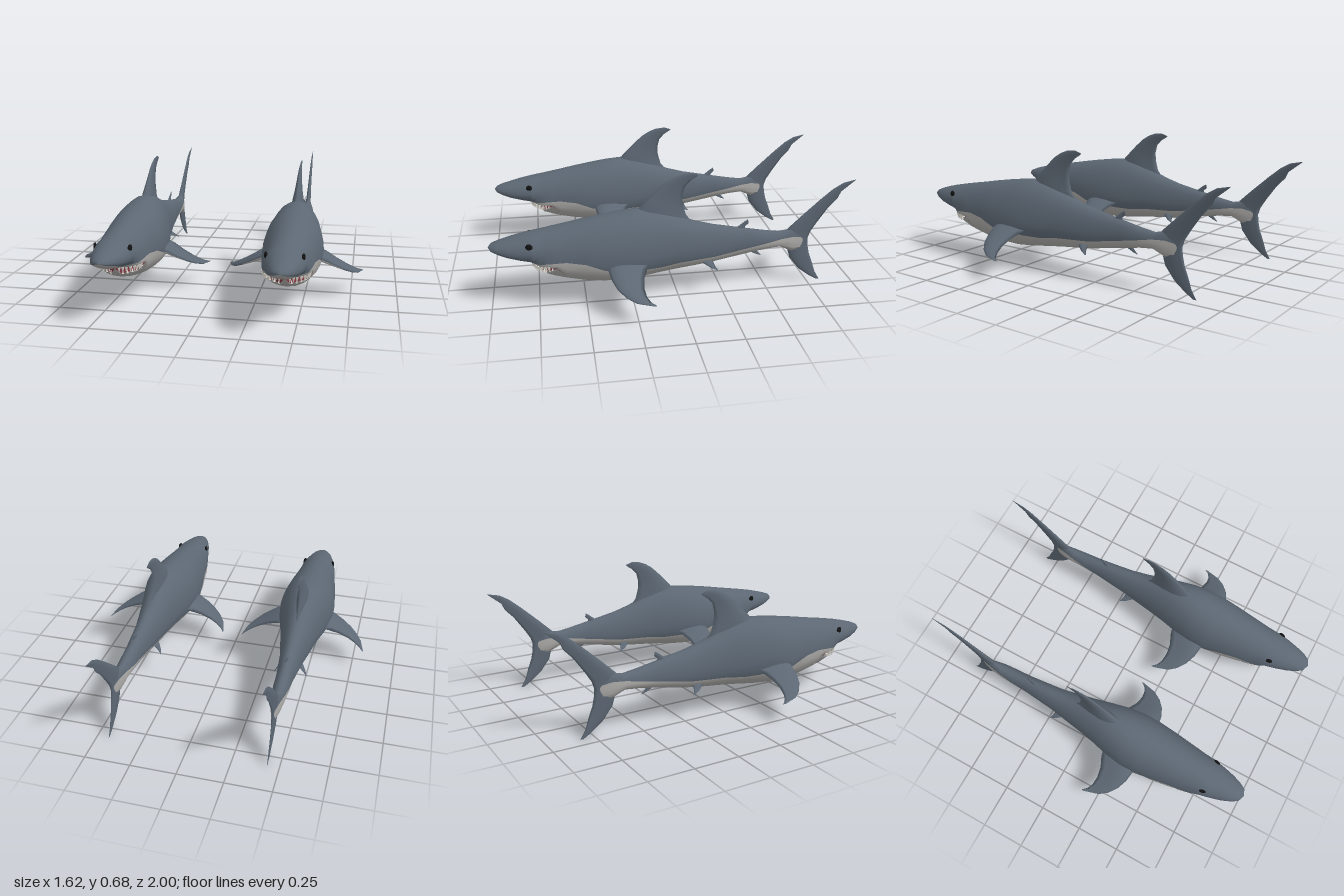
import * as THREE from 'three';

const V = (x, y, z) => new THREE.Vector3(x, y, z);
const mat = (name, color) => Object.assign(new THREE.MeshStandardMaterial({ color }), { name });

// Body stations from nose to tail: z, top, bottom, half width, height of the colour line
const STATIONS = [
  [1, .336, .336, 0, .336], [.985, .354, .318, .038, .325], [.95, .367, .3, .06, .315], [.9, .381, .28, .079, .298],
  [.84, .396, .264, .095, .28], [.78, .408, .251, .108, .27], [.765, .411, .24, .111, .268],
  [.735, .417, .203, .117, .268], [.7, .423, .178, .123, .272], [.67, .429, .167, .128, .274],
  [.65, .432, .16, .131, .276], [.6, .441, .147, .138, .28], [.5, .46, .126, .152, .267],
  [.4, .477, .116, .162, .228], [.3, .492, .112, .163, .222], [.2, .502, .12, .147, .205],
  [.1, .485, .133, .123, .2], [0, .448, .145, .102, .212], [-.1, .411, .155, .084, .215],
  [-.2, .384, .167, .066, .217], [-.4, .345, .203, .047, .25], [-.5, .326, .22, .044, .268],
  [-.58, .314, .228, .04, .283], [-.65, .33, .193, .026, .286], [-.7, .32, .195, .012, .275], [-.73, .27, .25, 0, .26],
];
const MOUTH_BACK = .65, MOUTH_FRONT = .78;

function station(z) {
  const i = Math.max(1, STATIONS.findIndex(s => s[0] <= z));
  const a = STATIONS[i - 1], b = STATIONS[i], t = (a[0] - z) / (a[0] - b[0]);
  return a.map((v, k) => v + (b[k] - v) * t);
}
const middle = ([, top, bottom]) => bottom + (top - bottom) * .38;

// Point on a station's ring: angle 0 is the back, PI the belly
function ringPoint(s, a) {
  const m = middle(s), c = Math.cos(a);
  return V(s[3] * Math.sin(a), m + c * (c > 0 ? s[1] - m : m - s[2]), s[0]);
}
function angleAt(s, y) {
  const m = middle(s), r = y > m ? s[1] - m : m - s[2];
  return r < 1e-6 ? Math.PI / 2 : Math.acos(THREE.MathUtils.clamp((y - m) / r, -1, 1));
}
// Angles of the colour line, upper lip and lower lip
function marks(s) {
  const z = s[0], line = angleAt(s, s[4]);
  if (z >= MOUTH_FRONT) return [line, Math.PI, Math.PI];
  if (z < MOUTH_BACK) return [line, (line + Math.PI) / 2, (line + Math.PI) / 2];
  const lower = z > .735 ? 0 : .248 - .043 * (z - MOUTH_BACK) / .085;
  return [line, angleAt(s, .25), Math.max(angleAt(s, .25), angleAt(s, lower))];
}

// Joins index lists into one geometry with a group for each material
function grouped(points, lists) {
  const g = new THREE.BufferGeometry().setFromPoints(points);
  g.setIndex(lists.flat());
  let start = 0;
  lists.forEach((l, m) => { g.addGroup(start, l.length, m); start += l.length; });
  g.computeVertexNormals();
  return g;
}

function bodyGeometry() {
  const STEPS = [8, 3, 4, 4], COLOUR = [0, 1, 2, 1], half = 19, C = 2 * half;
  const strip = [];
  STEPS.forEach((n, k) => { for (let i = 0; i < n; i++) strip.push(k); });
  const points = [], lists = [[], [], []];
  STATIONS.forEach(s => {
    const stops = [0, ...marks(s), Math.PI], row = [];
    STEPS.forEach((n, k) => {
      for (let i = 0; i < n; i++) {
        const p = ringPoint(s, stops[k] + (stops[k + 1] - stops[k]) * i / n);
        // hollow out the open mouth
        if (k === 2 && i > 0 && stops[3] - stops[2] > .02) { p.x *= .85; p.y += .015; p.z -= .02; }
        row.push(p);
      }
    });
    row.push(ringPoint(s, Math.PI));
    for (let j = 0; j < C; j++) {
      const p = row[j <= half ? j : C - j];
      points.push(V(j <= half ? p.x : -p.x, p.y, p.z));
    }
  });
  for (let r = 0; r < STATIONS.length - 1; r++) for (let j = 0; j < C; j++) {
    const a = r * C + j, b = r * C + (j + 1) % C;
    lists[COLOUR[strip[j < half ? j : C - 1 - j]]].push(a, b, a + C, b, b + C, a + C);
  }
  return grouped(points, lists);
}

// Fin lofted from sections [lead, trail, half thickness]; the first paleSpan sections are pale underneath
function finGeometry(sections, normal, paleSpan = 0) {
  const CHORD = [0, .06, .2, .4, .65, .85, 1], THICK = [0, .5, .9, 1, .65, .25, 0];
  const K = CHORD.length - 1, C = 2 * K, points = [], lists = [[], []];
  sections.forEach(([lead, trail, t]) => {
    for (let j = 0; j < C; j++) {
      const k = j <= K ? j : C - j;
      points.push(lead.clone().lerp(trail, CHORD[k]).addScaledVector(normal, (j <= K ? 1 : -1) * t * THICK[k]));
    }
  });
  const chord = sections[0][1].clone().sub(sections[0][0]);
  const span = sections[1][0].clone().sub(sections[0][0]);
  const flip = chord.cross(span).dot(normal) < 0;
  for (let r = 0; r < sections.length - 1; r++) for (let j = 0; j < C; j++) {
    const a = r * C + j, b = r * C + (j + 1) % C, c = a + C, d = b + C;
    lists[j >= K && r < paleSpan ? 1 : 0].push(...(flip ? [a, c, b, b, c, d] : [a, b, c, b, d, c]));
  }
  return grouped(points, lists);
}
// Upright fin rows: lead z, lead y, trail z, trail y, half thickness
const upright = rows => finGeometry(rows.map(([zl, yl, zt, yt, t]) => [V(0, yl, zl), V(0, yt, zt), t]), V(1, 0, 0));
// Side fin rows: x, y, lead z, trail z, half thickness
const sideFin = (rows, side, pale) => finGeometry(
  rows.map(([x, y, zl, zt, t]) => [V(side * x, y, zl), V(side * x, y, zt), t]), V(side * .45, .89, 0), pale);

export function createModel() {
  const slate = mat('slate grey', 0x5c6773), pale = mat('pale belly', 0xa9a8a5);
  const flesh = mat('mouth red', 0x7c3340), ivory = mat('tooth ivory', 0xe6e2d8), black = mat('eye black', 0x121212);

  const shark = new THREE.Group();
  const add = (name, geometry, material) => {
    const m = new THREE.Mesh(geometry, material);
    m.name = name;
    shark.add(m);
    return m;
  };
  add('body', bodyGeometry(), [slate, pale, flesh]);

  // Upright fins
  add('dorsalFin', upright([
    [.24, .45, -.09, .40, .036], [.2, .51, -.05, .45, .032], [.165, .545, -.033, .51, .023], [.12, .59, -.03, .56, .016],
    [.07, .635, -.042, .61, .011], [.025, .663, -.07, .64, .007], [-.02, .68, -.105, .662, .004], [-.075, .685, -.115, .672, .001],
  ]), [slate, pale]);
  add('rearDorsalFin', upright([
    [-.31, .34, -.385, .335, .012], [-.345, .365, -.38, .36, .007], [-.375, .388, -.392, .37, .004], [-.395, .4, -.4, .378, .001],
  ]), [slate, pale]);
  add('analFin', upright([
    [-.38, .225, -.46, .23, .012], [-.415, .205, -.452, .208, .007], [-.45, .187, -.468, .19, .004], [-.475, .178, -.478, .18, .001],
  ]), [slate, pale]);
  add('tailFin', upright([
    [-.81, .003, -.828, .003, .001], [-.765, .03, -.8, .05, .004], [-.7, .08, -.78, .11, .007], [-.645, .15, -.757, .17, .011],
    [-.63, .2, -.746, .22, .014], [-.61, .27, -.743, .26, .016], [-.62, .325, -.755, .3, .015], [-.7, .4, -.79, .355, .011],
    [-.8, .49, -.85, .44, .008], [-.87, .548, -.898, .49, .006], [-.925, .58, -.917, .53, .004], [-.998, .596, -.99, .588, .001],
  ]), [slate, pale]);

  for (const side of [1, -1]) {
    const s = side > 0 ? 'left' : 'right';
    add(s + 'PectoralFin', sideFin([
      [.1, .25, .4, .165, .034], [.17, .225, .385, .185, .026], [.22, .2, .375, .207, .019], [.275, .172, .35, .215, .014],
      [.32, .148, .312, .208, .01], [.352, .131, .265, .19, .006], [.375, .12, .18, .162, .001],
    ], side, 3), [slate, pale]);
    add(s + 'PelvicFin', sideFin([
      [.03, .205, -.11, -.19, .012], [.06, .182, -.14, -.195, .008], [.08, .165, -.172, -.203, .004], [.095, .152, -.208, -.215, .001],
    ], side, 2), [slate, pale]);

    // Eye
    const e = station(.786), eye = add(s + 'Eye', new THREE.SphereGeometry(.019, 16, 12), black);
    eye.position.copy(ringPoint(e, angleAt(e, .36)));
    eye.position.x *= side;
    eye.scale.x = .45;
    eye.rotation.y = side * -.2;

    // Teeth along both lips
    const teeth = (name, zs, lip, h) => zs.forEach(z => {
      const st = station(z), p = ringPoint(st, marks(st)[lip]);
      const tooth = add(name, new THREE.ConeGeometry(h * .28, h, 5), ivory);
      tooth.position.set(side * p.x * .97, p.y + (lip === 1 ? -h : h) * .4, p.z - .003);
      if (lip === 1) tooth.rotation.x = Math.PI;
    });
    teeth('upperTooth', [.776, .771, .764, .755, .742, .727, .71, .693], 1, .034);
    teeth('lowerTooth', [.734, .728, .718, .705, .69, .675], 2, .022);
  }

  // Two matching sharks side by side
  const model = new THREE.Group();
  model.name = 'sharkPair';
  [['rightShark', -.435], ['leftShark', .435]].forEach(([name, x]) => {
    const copy = shark.clone();
    copy.name = name;
    copy.position.x = x;
    model.add(copy);
  });
  return model;
}
